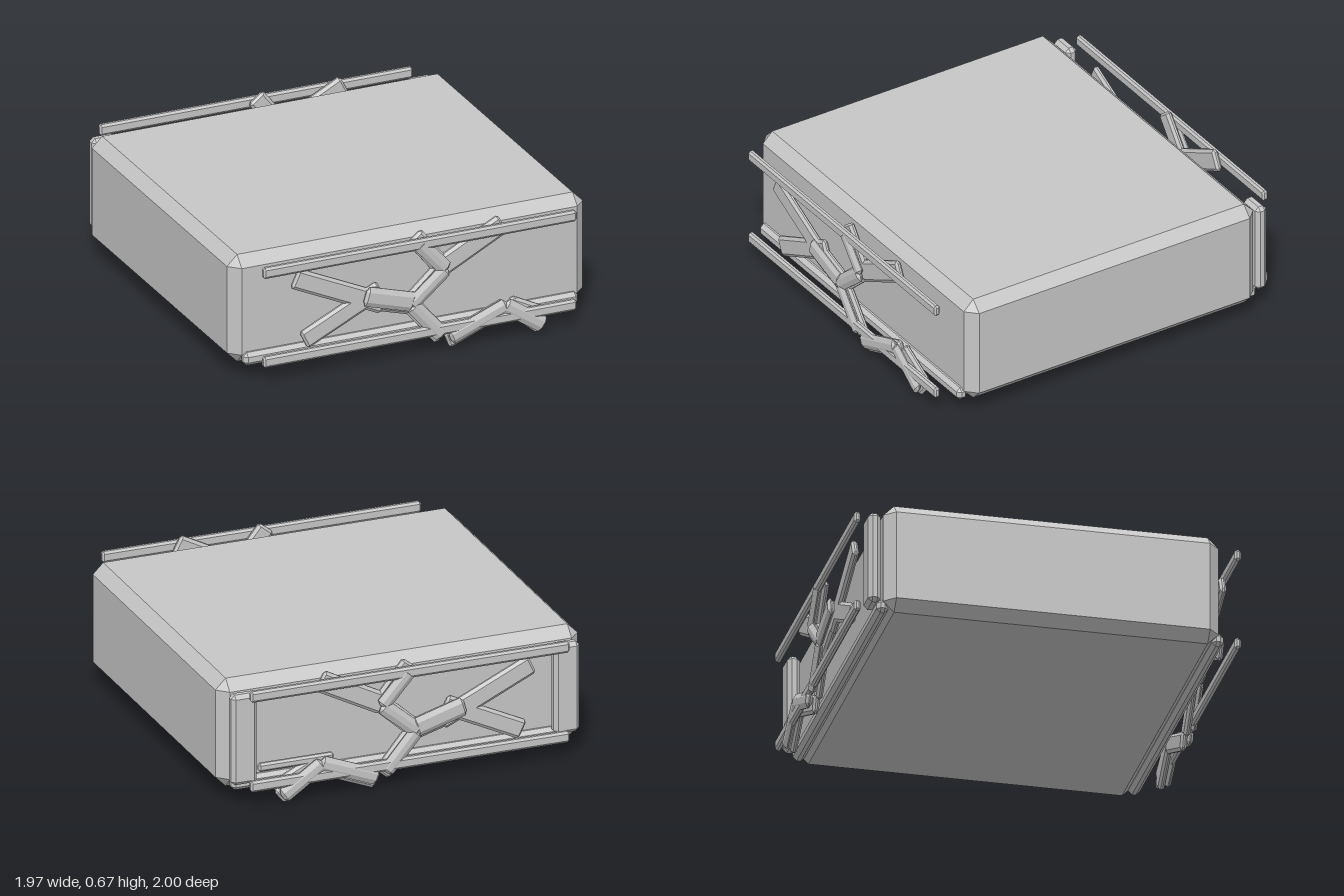
import * as THREE from 'three';
import { ConvexGeometry } from 'three/addons/geometries/ConvexGeometry.js';

const grey = new THREE.MeshStandardMaterial({ color: 0xc6c6c6 });
grey.name = 'grey';

// Box with every edge cut; cx, cy, cz are the cut depths along each axis
function chamferBox([w, h, d], [cx, cy, cz]) {
  const points = [];
  const [x, y, z] = [w / 2, h / 2, d / 2];
  for (const sx of [-1, 1]) for (const sy of [-1, 1]) for (const sz of [-1, 1]) {
    points.push(new THREE.Vector3(sx * x, sy * (y - cy), sz * (z - cz)));
    points.push(new THREE.Vector3(sx * (x - cx), sy * y, sz * (z - cz)));
    points.push(new THREE.Vector3(sx * (x - cx), sy * (y - cy), sz * z));
  }
  return new ConvexGeometry(points);
}

function addBox(parent, name, size, cuts, position) {
  const mesh = new THREE.Mesh(chamferBox(size, cuts), grey);
  mesh.name = name;
  mesh.position.set(...position);
  parent.add(mesh);
  return mesh;
}

// Flat bar between two points in the panel plane
function addBar(parent, name, [x1, y1, x2, y2, width], cuts, z) {
  const length = Math.hypot(x2 - x1, y2 - y1);
  const bar = addBox(parent, name, [length, width, 0.034], cuts,
    [(x1 + x2) / 2, (y1 + y2) / 2, z]);
  bar.rotation.z = Math.atan2(y2 - y1, x2 - x1);
}

// Inner layer: forked arms (start x, y, end x, y, width)
const arms = [
  [-0.675, 0.54, -0.18, 0.31, 0.11],
  [-0.625, 0.19, -0.2, 0.395, 0.105],
  [-0.015, 0.65, 0.16, 0.43, 0.1],
  [0.13, 0.45, 0.475, 0.63, 0.115],
  [-0.31, 0.365, -0.02, 0.28, 0.115],
  [-0.05, 0.28, 0.16, 0.47, 0.095],
  [-0.05, 0.3, 0.14, 0.07, 0.095],
  [0.165, 0.045, 0.49, 0.175, 0.095],
  [0.5, 0.19, 0.695, 0.031, 0.095],
  [0.52, 0.185, 0.71, 0.09, 0.075],
];
// Outer layer: ridged stems
const stems = [
  [-0.3, 0.385, -0.03, 0.305, 0.105],
  [-0.05, 0.285, 0.15, 0.455, 0.08],
  [0.0, 0.62, 0.15, 0.45, 0.08],
  [-0.04, 0.29, 0.13, 0.09, 0.08],
  [0.17, 0.07, 0.485, 0.195, 0.085],
  [0.47, 0.195, 0.69, 0.045, 0.085],
];

export function createModel() {
  const model = new THREE.Group();
  model.name = 'chamferedBlock';

  addBox(model, 'body', [1.966, 0.587, 1.73], [0.056, 0.056, 0.056], [0, 0.368, 0]);

  for (const side of [1, -1]) {
    const panel = new THREE.Group();
    panel.name = side > 0 ? 'frontPanel' : 'backPanel';
    model.add(panel);
    // Sill along the lower edge of the body
    addBox(panel, 'sill', [1.85, 0.07, 0.06], [0.02, 0.02, 0.02], [0, 0.11, side * 0.865]);
    for (const y of [0.615, 0.127]) {
      addBox(panel, 'rail', [1.73, 0.06, 0.034], [0.01, 0.012, 0.01], [0, y, side * 0.981]);
    }
    for (const arm of arms) addBar(panel, 'branchArm', arm, [0.012, 0.016, 0.012], side * 0.948);
    for (const stem of stems) addBar(panel, 'branchStem', stem, [0.014, 0.026, 0.014], side * 0.983);
  }

  // Back corner posts and a short crossbar
  for (const x of [-0.875, 0.875]) {
    addBox(model, 'cornerPost', [0.14, 0.49, 0.065], [0.02, 0.02, 0.02], [x, 0.367, -0.91]);
  }
  addBar(model, 'crossbar', [0.4, 0.21, 0.81, 0.21, 0.045], [0.011, 0.011, 0.011], -0.948);

  return model;
}
